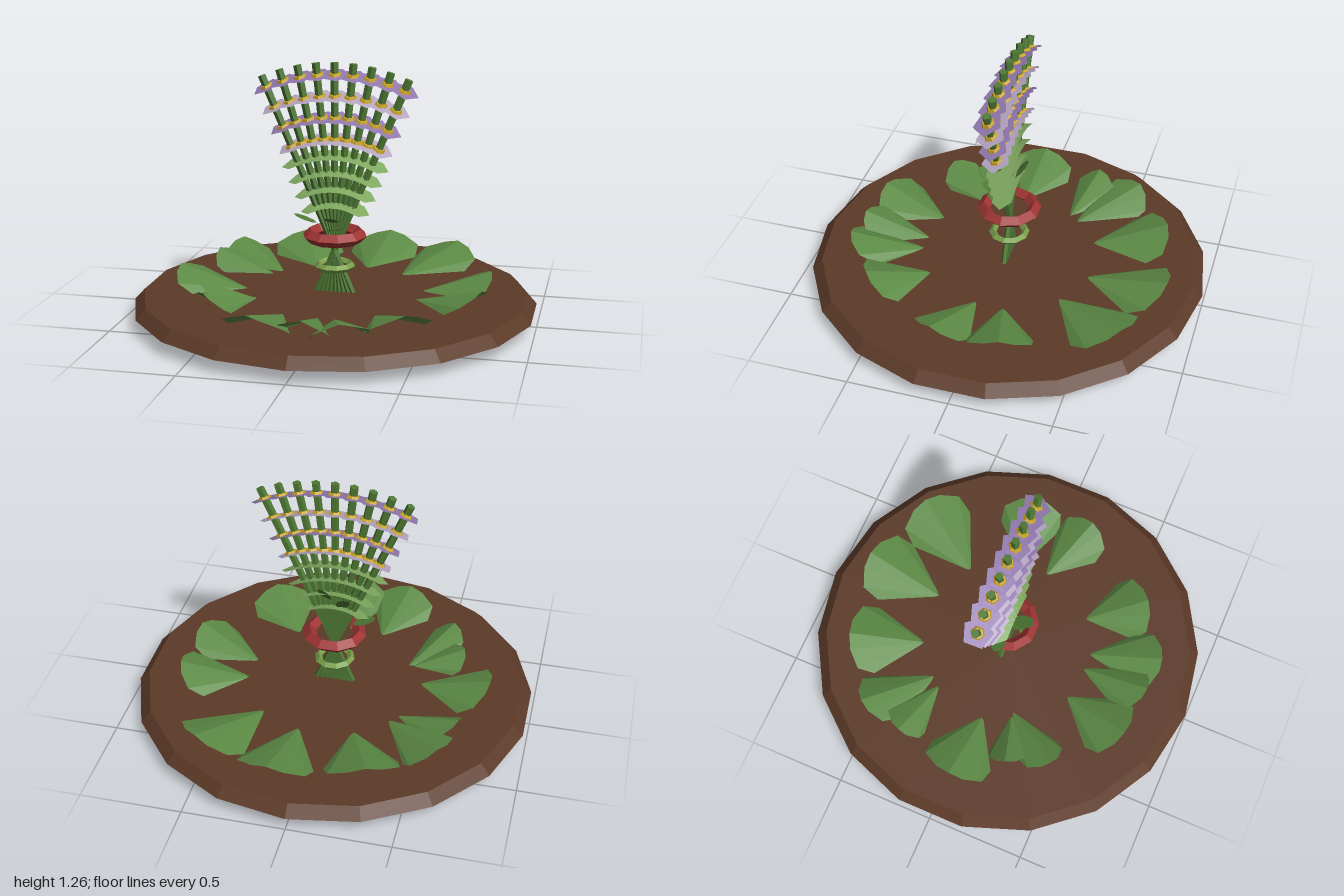
import * as THREE from 'three';

const mat = (color) => new THREE.MeshStandardMaterial({ color, flatShading: true, side: THREE.DoubleSide });
const MATS = {
  soil: mat(0x5c3a28), leaf: mat(0x5c8a45), stem: mat(0x4f7a35), sepal: mat(0x7fa860),
  purple: mat(0x9078ad), lilac: mat(0xb5a5c2), yellow: mat(0xc9a227), red: mat(0xa03434), twine: mat(0x7a9f4a),
};

function add(parent, name, geometry, material, x = 0, y = 0, z = 0) {
  const mesh = new THREE.Mesh(geometry, material);
  mesh.name = name;
  mesh.position.set(x, y, z);
  parent.add(mesh);
  return mesh;
}

// Folded fan-shaped leaf: facets radiate from the tip at the origin along +z
function fanLeaf(length, width) {
  const half = [[0.85, 0.45, -0.055], [1, 0.66, 0.005], [0.95, 0.87, 0.05], [0.45, 0.98, 0.085]];
  const rim = [
    ...half.map(([w, l, y]) => [-w, l, y]),
    [0, 1, 0.105],
    ...half.slice().reverse(),
  ];
  const pos = [0, 0, 0];
  for (const [w, l, y] of rim) pos.push(w * width, y, l * length);
  const index = [];
  for (let i = 1; i < rim.length; i++) index.push(0, i + 1, i);
  index.forEach((v, i) => { if (i % 3 === 1) [index[i], index[i + 1]] = [index[i + 1], index[i]]; });
  const g = new THREE.BufferGeometry();
  g.setAttribute('position', new THREE.Float32BufferAttribute(pos, 3));
  g.setIndex(index);
  g.computeVertexNormals();
  return g;
}

// One stalk with tiers of sepals and blossoms, local y measured from the crossing point
function flowerStem(angle) {
  const stem = new THREE.Group();
  stem.name = 'flowerStem';
  const top = 0.93, bottom = -0.325 / Math.cos(angle);
  add(stem, 'stalk', new THREE.CylinderGeometry(0.021, 0.014, top - bottom, 5), MATS.stem, 0, (top + bottom) / 2, 0);

  const blossom = new THREE.CircleGeometry(0.075, 5).rotateX(-Math.PI / 2);
  const eye = new THREE.CylinderGeometry(0.026, 0.034, 0.012, 6);
  [0.87, 0.765, 0.66, 0.555].forEach((y, i) => {
    const tier = new THREE.Group();
    tier.name = 'blossomTier';
    tier.position.y = y;
    tier.rotation.x = 0.28;
    add(tier, 'petals', blossom, i % 2 ? MATS.lilac : MATS.purple);
    add(tier, 'blossomEye', eye, MATS.yellow, 0, 0.006, 0);
    stem.add(tier);
  });

  const sepal = new THREE.CircleGeometry(1, 6).rotateX(-Math.PI / 2);
  [0.475, 0.395, 0.315, 0.235].forEach((y) => {
    const m = add(stem, 'sepals', sepal, MATS.sepal, 0, y, 0);
    m.scale.set(0.088, 1, 0.062);
    m.rotation.x = 0.28;
  });

  stem.position.y = 0.325;
  stem.rotation.z = -angle;
  return stem;
}

export function createModel() {
  const model = new THREE.Group();
  model.name = 'bouquetOnDisc';

  // Bevelled soil disc
  add(model, 'soilDisc', new THREE.CylinderGeometry(0.95, 1, 0.052, 18), MATS.soil, 0, 0.085, 0);

  // Ring of ground leaves: tip x, tip z, end x, end z, half width, roll
  const leaves = [
    [0.08, -0.41, 0.13, -0.84, 0.18, 0],
    [0.27, -0.32, 0.52, -0.70, 0.18, 0],
    [0.41, -0.09, 0.76, -0.17, 0.16, 0],
    [0.40, 0.04, 0.75, 0.17, 0.14, 0],
    [0.26, 0.32, 0.46, 0.60, 0.16, 0],
    [0.09, 0.41, 0.20, 0.78, 0.14, 0.1],
    [0.01, 0.41, 0.00, 0.77, 0.12, -0.1],
    [-0.16, 0.39, -0.25, 0.75, 0.16, 0],
    [-0.34, 0.17, -0.55, 0.46, 0.11, -0.15],
    [-0.36, 0.18, -0.62, 0.27, 0.10, 0.15],
    [-0.42, 0.05, -0.79, 0.02, 0.17, 0],
    [-0.36, -0.22, -0.68, -0.32, 0.11, -0.15],
    [-0.32, -0.26, -0.63, -0.53, 0.14, 0.15],
    [-0.18, -0.38, -0.32, -0.75, 0.18, 0],
  ];
  const ground = new THREE.Group();
  ground.name = 'groundLeaves';
  for (const [tx, tz, ex, ez, w, roll] of leaves) {
    const m = add(ground, 'groundLeaf', fanLeaf(Math.hypot(ex - tx, ez - tz), w), MATS.leaf, tx, 0.106, tz);
    m.rotation.order = 'YXZ';
    m.rotation.set(0, Math.atan2(ex - tx, ez - tz), roll);
  }
  model.add(ground);

  // Fan of nine crossing stems
  for (let i = -4; i <= 4; i++) model.add(flowerStem(i * 0.1));

  // Red tie and the lower green tie
  add(model, 'redTie', new THREE.TorusGeometry(0.127, 0.033, 4, 10).rotateX(Math.PI / 2), MATS.red, 0, 0.4, 0);
  add(model, 'greenTie', new THREE.TorusGeometry(0.083, 0.019, 4, 10).rotateX(Math.PI / 2), MATS.twine, 0, 0.245, 0);

  // Small loose leaves above the tie: base position, heading, lift
  const small = new THREE.CircleGeometry(1, 8).rotateX(-Math.PI / 2).scale(0.036, 1, 0.06).translate(0, 0, 0.06);
  const loose = [
    [0, 0.47, 0.035, 0, 0.42],
    [0, 0.42, 0.0, 0, 0.3],
    [-0.09, 0.46, 0.01, -1.5, 0.35],
    [0.03, 0.6, -0.01, 2.8, 0.95],
    [-0.04, 0.56, -0.01, 3.4, 0.9],
  ];
  for (const [x, y, z, heading, lift] of loose) {
    const m = add(model, 'looseLeaf', small, MATS.stem, x, y, z);
    m.rotation.order = 'YXZ';
    m.rotation.set(-lift, heading, 0);
  }
  return model;
}
